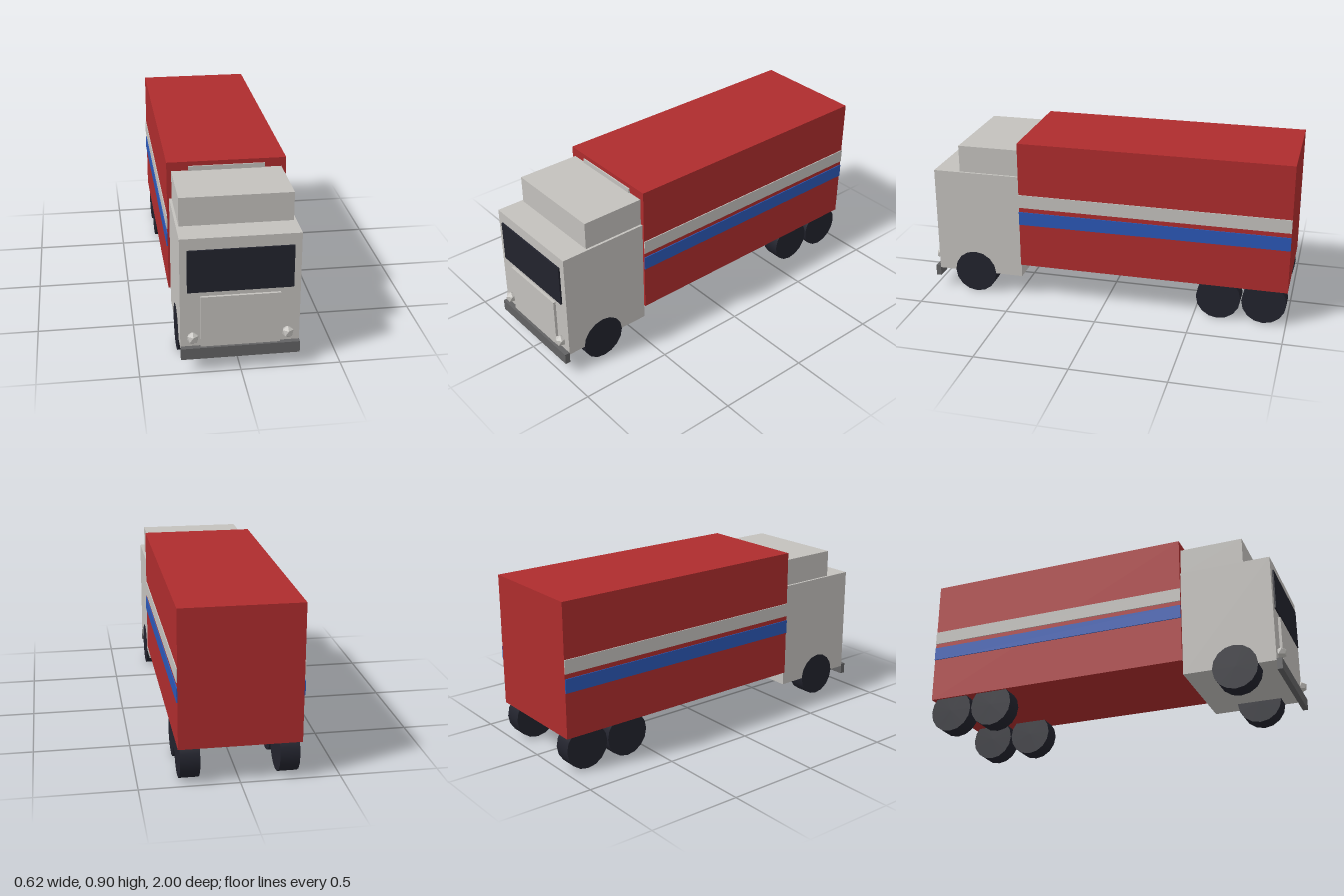
import * as THREE from 'three';

const paint = (name, color) => {
  const m = new THREE.MeshStandardMaterial({ color });
  m.name = name;
  return m;
};

export function createModel() {
  const truck = new THREE.Group();
  truck.name = 'boxTruck';

  const red = paint('cargoRed', 0xae2c2d);
  const grey = paint('cabGrey', 0xc3c1bd);
  const blue = paint('stripeBlue', 0x2b57b5);
  const dark = paint('rubberAndGlass', 0x22232d);
  const steel = paint('bumperGrey', 0x636364);

  const add = (name, geometry, material, x, y, z) => {
    const mesh = new THREE.Mesh(geometry, material);
    mesh.name = name;
    mesh.position.set(x, y, z);
    truck.add(mesh);
    return mesh;
  };
  // Box given by its lower and upper limits on each axis
  const box = (name, material, [x0, x1], [y0, y1], [z0, z1]) =>
    add(name, new THREE.BoxGeometry(x1 - x0, y1 - y0, z1 - z0), material,
      (x0 + x1) / 2, (y0 + y1) / 2, (z0 + z1) / 2);

  // Cargo body and cab
  box('cargoBox', red, [-0.306, 0.306], [0.196, 0.905], [-1, 0.473]);
  box('cab', grey, [-0.295, 0.295], [0.12, 0.71], [0.473, 0.96]);
  box('roofFairing', grey, [-0.282, 0.282], [0.71, 0.858], [0.473, 0.815]);
  box('cargoFrontUnit', grey, [-0.196, 0.196], [0.8, 0.882], [0.473, 0.48]);

  // Cab front
  box('windshield', dark, [-0.26, 0.26], [0.428, 0.65], [0.96, 0.969]);
  box('grillePanel', grey, [-0.197, 0.197], [0.13, 0.403], [0.96, 0.974]);
  box('bumper', steel, [-0.295, 0.295], [0.071, 0.131], [0.96, 0.988]);

  // Faceted headlights with a corner pointing straight up
  const lamp = new THREE.IcosahedronGeometry(0.0315, 0);
  lamp.rotateX(-Math.atan2((1 + Math.sqrt(5)) / 2, 1));

  // Wheel lying along x
  const tyre = new THREE.CylinderGeometry(0.12, 0.12, 0.099, 16);
  tyre.rotateZ(Math.PI / 2);

  for (const [side, s] of [['left', 1], ['right', -1]]) {
    add(side + 'Headlight', lamp, grey, s * 0.235, 0.182, 0.972);

    // Side stripes
    const edge = s > 0 ? [0.306, 0.311] : [-0.311, -0.306];
    box(side + 'GreyStripe', grey, edge, [0.54, 0.613], [-1, 0.473]);
    box(side + 'BlueStripe', blue, edge, [0.44, 0.514], [-1, 0.473]);

    // One front wheel and two rear wheels on each side
    [['Front', 0.746], ['RearInner', -0.632], ['RearOuter', -0.877]].forEach(([place, z]) =>
      add(side + place + 'Wheel', tyre, dark, s * 0.2465, 0.12, z));
  }
  return truck;
}
